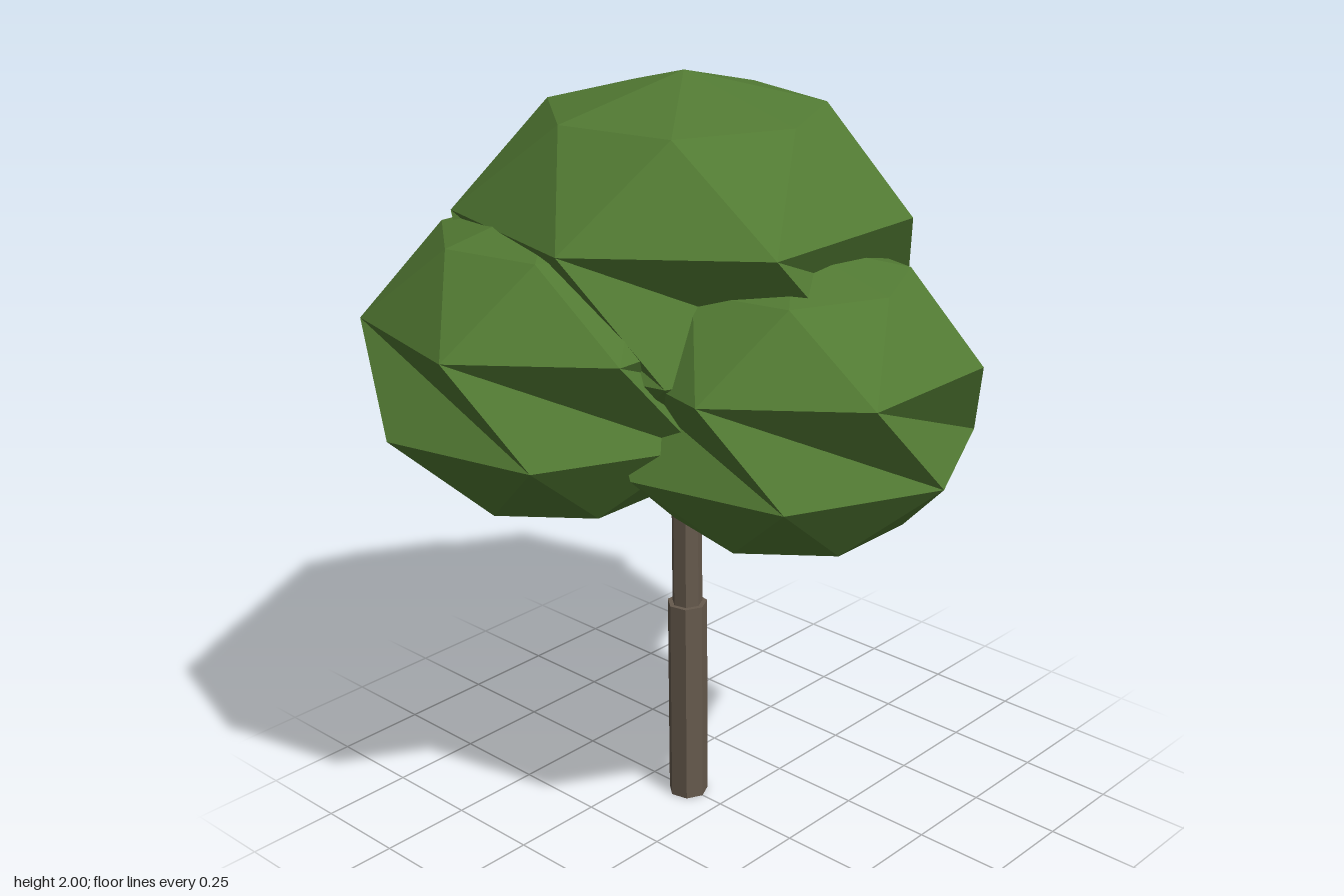
import * as THREE from 'three';

const SIDES = 7;
const STEP = (Math.PI * 2) / SIDES;

const leafGreen = new THREE.MeshStandardMaterial({ color: 0x527a33, flatShading: true });
leafGreen.name = 'leafGreen';
const barkBrown = new THREE.MeshStandardMaterial({ color: 0x665a4d, flatShading: true });
barkBrown.name = 'barkBrown';

// Squashed seven-sided ball made of staggered rings; the waist band is twisted,
// which gives its long, creased triangles.
function leafBallGeometry(radius, halfHeight) {
  const rings = [1, 2, 3, 4].map((r) => {
    const phi = (r * Math.PI) / 5;
    const offset = r % 2 ? 0 : 0.5;
    return Array.from({ length: SIDES }, (_, k) => {
      const a = (k + offset) * STEP;
      const s = radius * Math.sin(phi);
      return [s * Math.cos(a), halfHeight * Math.cos(phi), s * Math.sin(a)];
    });
  });
  const top = [0, halfHeight, 0];
  const bottom = [0, -halfHeight, 0];
  const positions = [];
  const tri = (...corners) => corners.forEach((c) => positions.push(...c));

  for (let k = 0; k < SIDES; k++) {
    const next = (k + 1) % SIDES;
    const prev = (k + SIDES - 1) % SIDES;
    tri(top, rings[0][next], rings[0][k]);
    for (let r = 0; r < 3; r++) {
      const upper = rings[r];
      const lower = rings[r + 1];
      tri(upper[k], upper[next], lower[k]);
      tri(lower[k], lower[prev], upper[k]);
    }
    tri(bottom, rings[3][k], rings[3][next]);
  }
  const geometry = new THREE.BufferGeometry();
  geometry.setAttribute('position', new THREE.Float32BufferAttribute(positions, 3));
  geometry.computeVertexNormals();
  return geometry;
}

export function createModel() {
  const tree = new THREE.Group();
  tree.name = 'tree';

  // Trunk: thick base and thinner upper section
  const addTrunk = (name, radius, y0, y1) => {
    const geometry = new THREE.CylinderGeometry(radius, radius, y1 - y0, SIDES, 1, false, Math.PI / 2);
    const mesh = new THREE.Mesh(geometry, barkBrown);
    mesh.name = name;
    mesh.position.set(-0.12, (y0 + y1) / 2, 0);
    tree.add(mesh);
  };
  addTrunk('lowerTrunk', 0.054, 0, 0.58);
  addTrunk('upperTrunk', 0.041, 0.57, 1.3);

  // Crown: one large ball over three smaller ones
  const balls = [
    ['topFoliage', -0.12, 1.536, 0, 0.6, 0.464],
    ['frontFoliage', -0.24, 1.333, 0.33, 0.492, 0.393],
    ['backFoliage', -0.26, 1.26, -0.33, 0.508, 0.4],
    ['leftFoliage', 0.24, 1.263, 0.01, 0.487, 0.38],
  ];
  for (const [name, x, y, z, radius, halfHeight] of balls) {
    const mesh = new THREE.Mesh(leafBallGeometry(radius, halfHeight), leafGreen);
    mesh.name = name;
    mesh.position.set(x, y, z);
    tree.add(mesh);
  }
  return tree;
}
